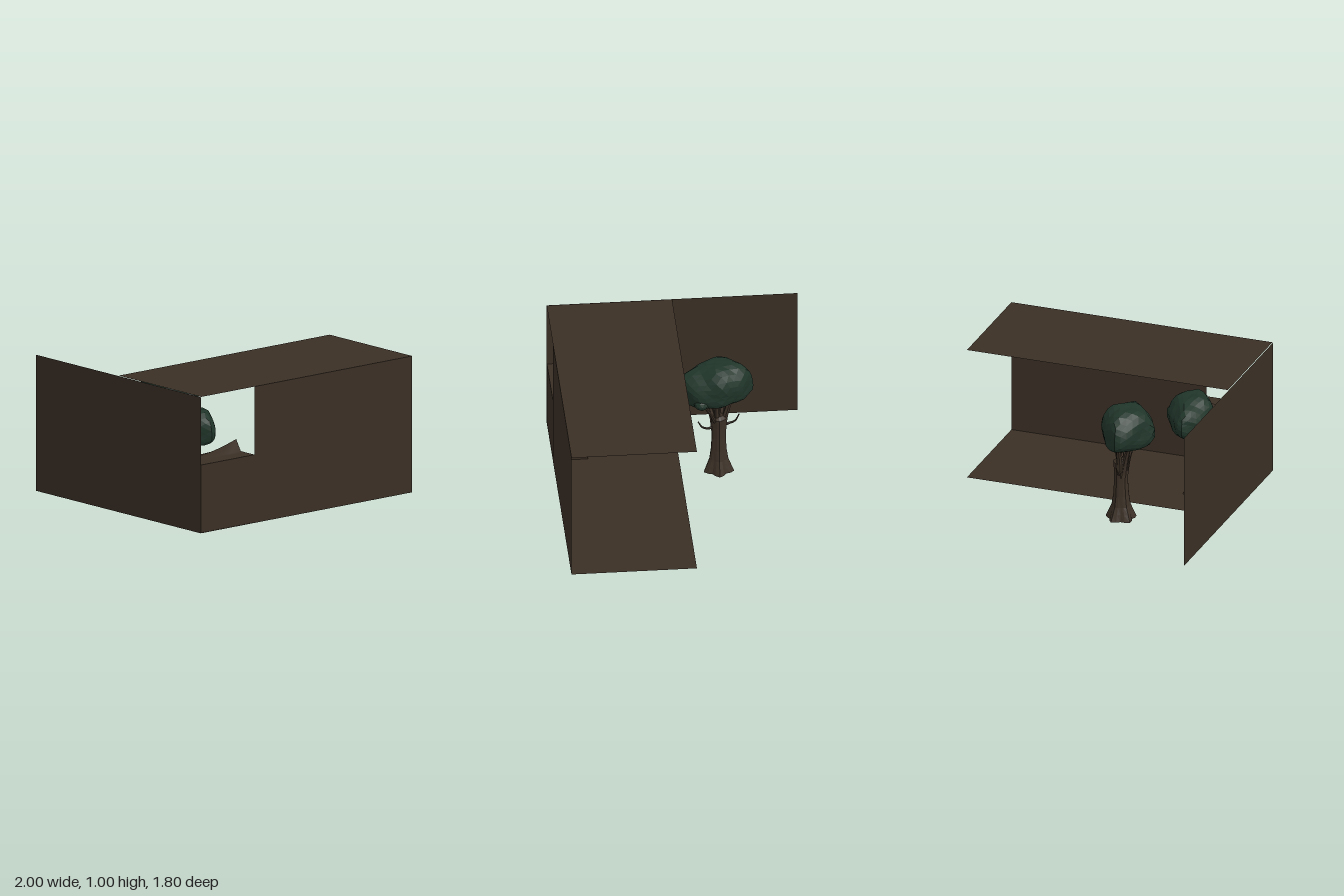
import * as THREE from 'three';

const V = (x, y, z) => new THREE.Vector3(x, y, z);

export function createModel() {
  const earth = new THREE.MeshStandardMaterial({ color: 0x3a2f25, side: THREE.DoubleSide });
  earth.name = 'earth brown';
  const bark = new THREE.MeshStandardMaterial({ color: 0x3c3127, flatShading: true });
  bark.name = 'bark brown';
  const leaf = new THREE.MeshStandardMaterial({ color: 0x20352a, flatShading: true });
  leaf.name = 'leaf green';

  const model = new THREE.Group();
  model.name = 'woodlandRoom';
  const add = (parent, name, geometry, material) => {
    const mesh = new THREE.Mesh(geometry, material);
    mesh.name = name;
    parent.add(mesh);
    return mesh;
  };

  // Thin open panels: floor, ceiling, front and side wall
  const flat = (w, d) => new THREE.PlaneGeometry(w, d).rotateX(-Math.PI / 2);
  add(model, 'floor', flat(1.995, 0.9), earth).position.set(0.0025, 0.004, 0.45);
  add(model, 'ceiling', flat(1.995, 0.9), earth).position.set(0.0025, 1, 0.45);
  add(model, 'frontWall', new THREE.PlaneGeometry(1.49, 1), earth).position.set(0.255, 0.5, 0.9);
  add(model, 'sideWall', new THREE.PlaneGeometry(1.8, 0.998).rotateY(Math.PI / 2), earth)
    .position.set(-1, 0.499, 0);

  // Rock in the corner: pinched back, with a raised crest towards its inner end
  const rock = new THREE.BoxGeometry(1, 1, 1, 6, 8, 5);
  const rp = rock.attributes.position;
  for (let i = 0; i < rp.count; i++) {
    const u = rp.getX(i) + 0.5, h = rp.getY(i) + 0.5, t = 0.5 - rp.getZ(i);
    const depth = 0.25 - 0.065 * Math.sin(Math.PI * h) ** 1.5;
    const crest = t > 0.9 ? 0.02 : t > 0.7 ? 0.08 : 0;
    rp.setXYZ(i, -0.995 + 0.505 * u, 0.5 * h + crest * u * u * h ** 4, 0.898 - t * depth);
  }
  rock.computeVertexNormals();
  add(model, 'cornerRock', rock, earth);

  // Flat foot of the rock, just below the floor
  const foot = new THREE.Shape([[-1, 0.9], [-0.49, 0.9], [-0.5, 0.72], [-0.55, 0.6],
    [-0.58, 0.25], [-0.68, 0.12], [-1, 0.03]].map(([x, z]) => new THREE.Vector2(x, z)));
  add(model, 'rockFoot', new THREE.ShapeGeometry(foot).rotateX(Math.PI / 2), earth);

  // Tapered limb along a curve
  const limb = (points, r0, r1) => {
    const curve = new THREE.CatmullRomCurve3(points), n = 6, sides = 6;
    const g = new THREE.TubeGeometry(curve, n, 1, sides);
    const p = g.attributes.position, v = V(0, 0, 0);
    for (let i = 0; i < p.count; i++) {
      const t = Math.floor(i / (sides + 1)) / n, c = curve.getPointAt(t);
      v.fromBufferAttribute(p, i).sub(c).multiplyScalar(r0 + (r1 - r0) * t).add(c);
      p.setXYZ(i, v.x, v.y, v.z);
    }
    return g;
  };

  // Trunk with flared, fluted roots
  const trunkGeometry = () => {
    const profile = [[0.1, 0], [0.083, 0.05], [0.066, 0.1], [0.056, 0.18], [0.05, 0.28],
      [0.05, 0.37], [0.056, 0.44], [0.03, 0.46], [0, 0.46]];
    const g = new THREE.LatheGeometry(profile.map(([r, y]) => new THREE.Vector2(r, y)), 20);
    const p = g.attributes.position;
    for (let i = 0; i < p.count; i++) {
      const x = p.getX(i), z = p.getZ(i), a = Math.atan2(z, x);
      const k = 1 + (0.05 + 0.11 * Math.max(0, 1 - p.getY(i) / 0.15)) * Math.cos(5 * a);
      p.setX(i, x * k);
      p.setZ(i, z * k);
    }
    return g;
  };

  // Lumpy crown: flattened, diamond-like from above, lower at its narrow +z end
  const crownGeometry = () => {
    const g = new THREE.IcosahedronGeometry(1, 4);
    const p = g.attributes.position;
    for (let i = 0; i < p.count; i++) {
      const x = p.getX(i), y = p.getY(i), z = p.getZ(i);
      const a = Math.atan2(z, x), ring = Math.hypot(x, z);
      const diamond = (Math.abs(Math.cos(a)) ** 1.4 + Math.abs(Math.sin(a)) ** 1.4) ** (-1 / 1.4);
      const boxy = (ring ** 2.7 + Math.abs(y) ** 2.7) ** (-1 / 2.7);
      const lump = 1 + 0.05 * Math.sin(5 * x + 2 * y) * Math.cos(4 * z - 3 * y)
        + 0.03 * Math.sin(9 * z + 4 * x);
      const k = diamond * boxy * lump;
      const height = y > 0 ? 0.185 - 0.03 * z - 0.04 * ring * ring : 0.145 + 0.02 * Math.sin(4 * z);
      p.setXYZ(i, x * k * 0.195 + 0.03 * Math.max(0, z), y * boxy * height * lump, z * k * 0.28);
    }
    return g;
  };

  const makeTree = (name, x, z, scale, turn) => {
    const tree = new THREE.Group();
    tree.name = name;
    add(tree, 'trunk', trunkGeometry(), bark);
    // Main limbs spread into the crown
    [[-0.03, 0.1], [-0.09, 0.04], [0.03, 0.02], [-0.01, -0.1], [-0.09, -0.05]].forEach(([dx, dz]) =>
      add(tree, 'mainLimb', limb([V(dx * 0.25, 0.33, dz * 0.3), V(dx * 0.5, 0.46, dz * 0.5),
        V(dx, 0.62, dz)], 0.026, 0.014), bark));
    // Thin bent side branches
    add(tree, 'sideBranch', limb([V(0, 0.36, 0.03), V(0.01, 0.355, 0.08), V(0.02, 0.375, 0.12),
      V(0.02, 0.425, 0.15)], 0.012, 0.004), bark);
    add(tree, 'sideBranch', limb([V(0, 0.37, -0.03), V(-0.02, 0.375, -0.08), V(-0.02, 0.39, -0.12),
      V(-0.02, 0.45, -0.15)], 0.012, 0.004), bark);
    // Short branch with a tuft reaching out of the crown
    add(tree, 'tuftBranch', limb([V(0.02, 0.4, 0.02), V(0.06, 0.5, 0.06), V(0.1, 0.58, 0.1)],
      0.016, 0.008), bark);
    const tuft = add(tree, 'tuft', new THREE.IcosahedronGeometry(0.055, 1), leaf);
    tuft.position.set(0.095, 0.62, 0.13);
    tuft.scale.set(1, 0.8, 1);
    add(tree, 'crown', crownGeometry(), leaf).position.set(-0.045, 0.69, 0.025);
    tree.position.set(x, 0.004, z);
    tree.scale.setScalar(scale);
    tree.rotation.y = turn;
    model.add(tree);
  };
  makeTree('largeTree', -0.28, -0.27, 1, 0);
  makeTree('smallTree', -0.63, 0.33, 0.87, Math.PI);

  return model;
}
